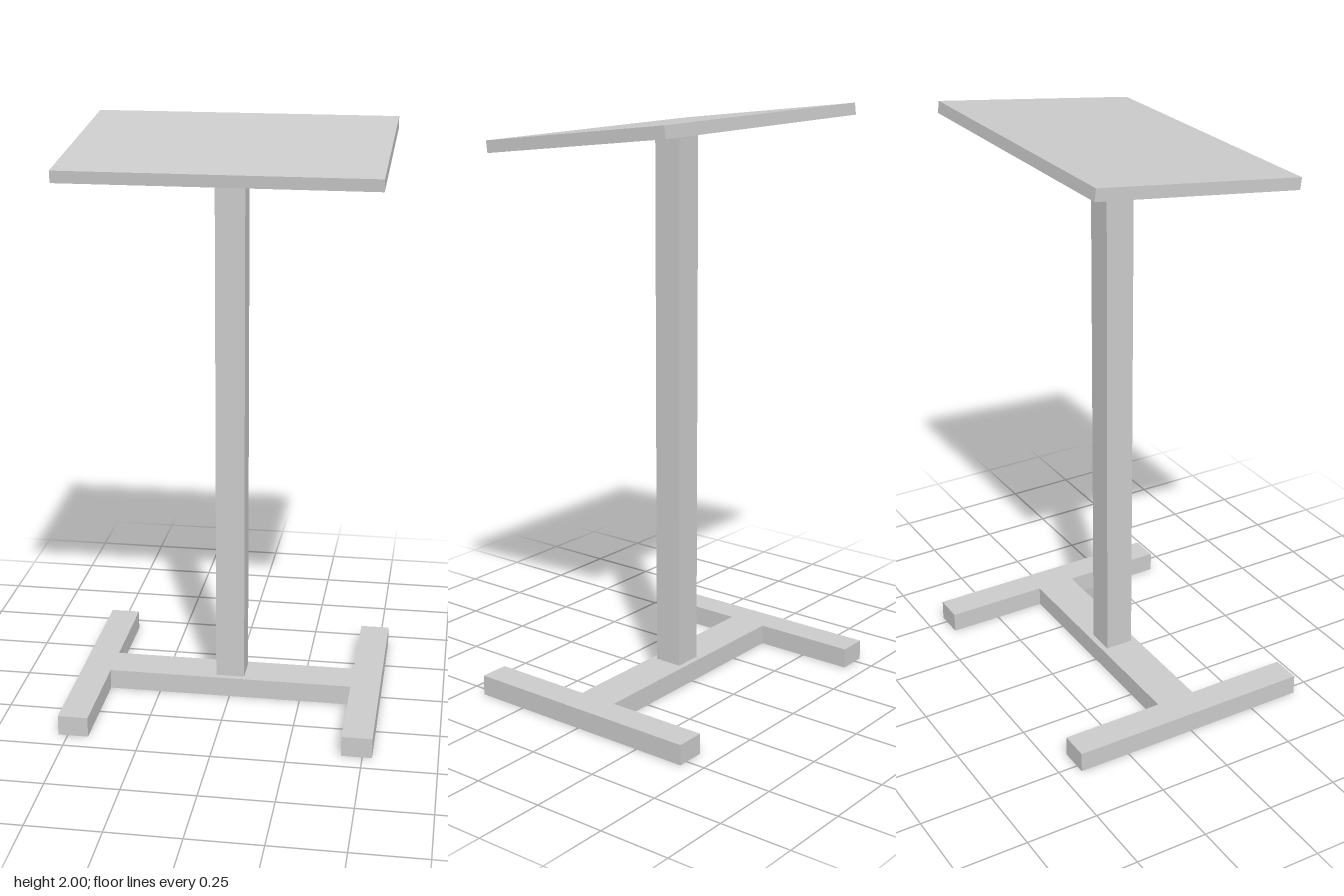
import * as THREE from 'three';

export function createModel() {
  const model = new THREE.Group();
  model.name = 'lectern';
  const material = new THREE.MeshStandardMaterial({ color: 0xcccccc, flatShading: true });

  function box(name, [w, h, d], [x, y, z]) {
    const mesh = new THREE.Mesh(new THREE.BoxGeometry(w, h, d), material);
    mesh.name = name;
    mesh.position.set(x, y, z);
    model.add(mesh);
    return mesh;
  }

  // H-shaped base: two feet joined by a crossbar
  const baseHeight = 0.07;
  for (const [name, side] of [['leftFoot', 1], ['rightFoot', -1]]) {
    box(name, [0.103, baseHeight, 0.862], [side * 0.481, baseHeight / 2, 0]);
  }
  box('crossbar', [0.859, baseHeight, 0.14], [0, baseHeight / 2, 0]);

  // Square post, its top end just inside the sloping desk
  const postTop = 1.925;
  box('post', [0.1, postTop - baseHeight, 0.1], [0, (postTop + baseHeight) / 2, 0]);

  // Sloping desk, lower at the front
  const desk = box('desk', [1.032, 0.04, 0.725], [0, 1.936, 0]);
  desk.rotation.x = THREE.MathUtils.degToRad(7);

  return model;
}
